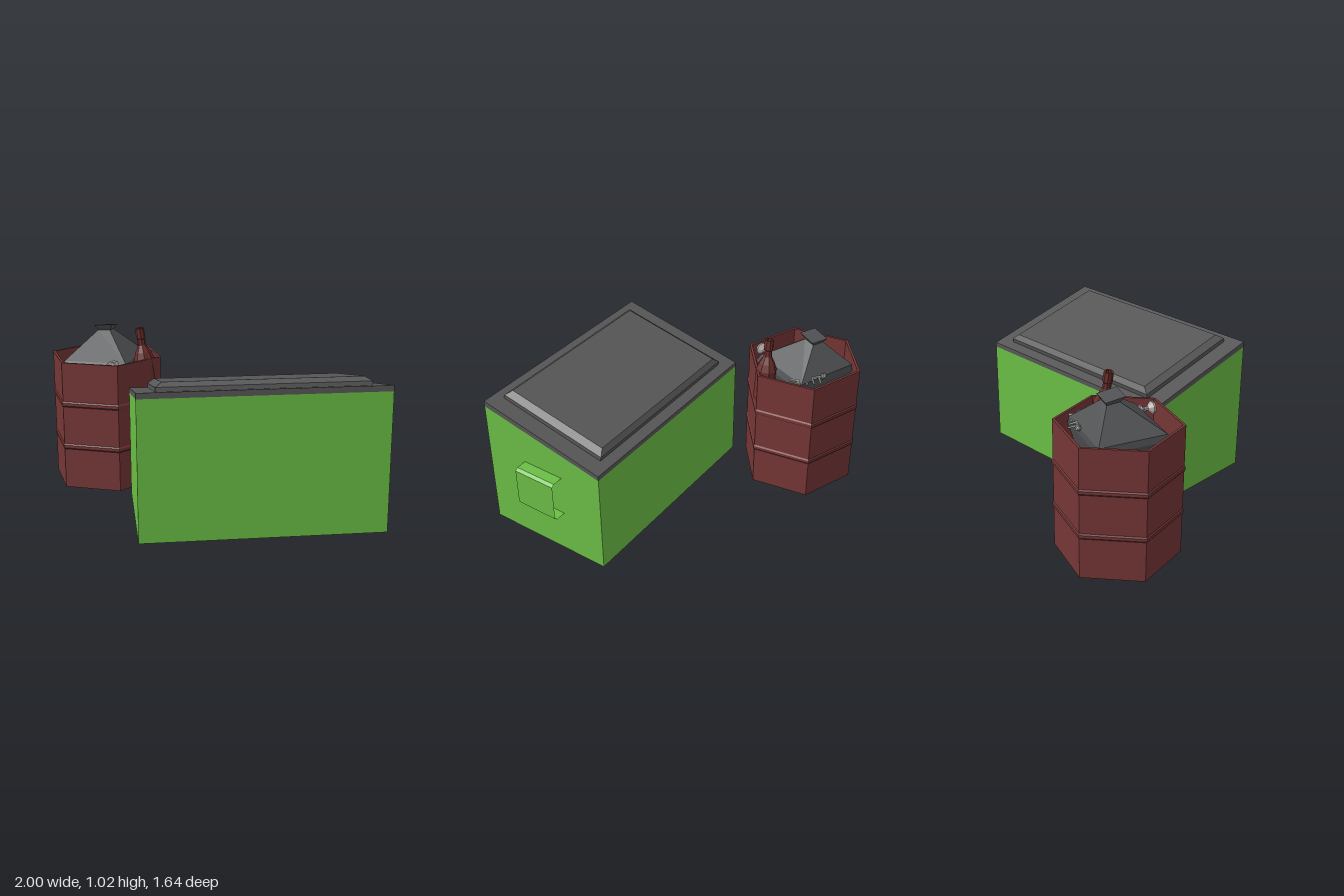
import * as THREE from 'three';

const mat = (color, side = THREE.FrontSide) =>
  new THREE.MeshStandardMaterial({ color, flatShading: true, side });

function add(parent, name, geometry, material) {
  const mesh = new THREE.Mesh(geometry, material);
  mesh.name = name;
  parent.add(mesh);
  return mesh;
}

// Side outline in (z, y), extruded across the width from x0 to x1
function sideExtrude(points, x0, x1) {
  const shape = new THREE.Shape(points.map(([z, y]) => new THREE.Vector2(z, y)));
  return new THREE.ExtrudeGeometry(shape, { depth: x1 - x0, bevelEnabled: false })
    .rotateY(-Math.PI / 2).translate(x1, 0, 0);
}

// Closed skin over rings of [x, y, z] points, listed from bottom to top
function loft(rings) {
  const n = rings[0].length, pos = [];
  const tri = (...pts) => pts.forEach(p => pos.push(...p));
  for (let k = 0; k + 1 < rings.length; k++) {
    for (let i = 0; i < n; i++) {
      const j = (i + 1) % n, lo = rings[k], hi = rings[k + 1];
      tri(lo[i], hi[i], hi[j]);
      tri(lo[i], hi[j], lo[j]);
    }
  }
  const first = rings[0], last = rings[rings.length - 1];
  for (let i = 1; i < n - 1; i++) {
    tri(first[0], first[i], first[i + 1]);
    tri(last[0], last[i + 1], last[i]);
  }
  const g = new THREE.BufferGeometry();
  g.setAttribute('position', new THREE.Float32BufferAttribute(pos, 3));
  g.computeVertexNormals();
  return g;
}

const rectRing = (hx, y, hz) => [[hx, y, -hz], [hx, y, hz], [-hx, y, hz], [-hx, y, -hz]];

// Cylinder between two points
function rod(a, b, r0, r1, sides) {
  const from = new THREE.Vector3(...a), dir = new THREE.Vector3(...b).sub(from);
  const g = new THREE.CylinderGeometry(r1, r0, dir.length(), sides);
  g.translate(0, dir.length() / 2, 0);
  g.applyQuaternion(new THREE.Quaternion().setFromUnitVectors(
    new THREE.Vector3(0, 1, 0), dir.clone().normalize()));
  return g.translate(...a);
}

// Lathe standing along the line from a towards b
function latheAlong(profile, a, b, sides) {
  const dir = new THREE.Vector3(...b).sub(new THREE.Vector3(...a)).normalize();
  const g = new THREE.LatheGeometry(profile.map(p => new THREE.Vector2(...p)), sides);
  g.applyQuaternion(new THREE.Quaternion().setFromUnitVectors(new THREE.Vector3(0, 1, 0), dir));
  return g.translate(...a);
}

function makeDumpster() {
  const group = new THREE.Group();
  group.name = 'dumpster';
  const green = mat(0x6abe45), grey = mat(0x575757);
  const zBack = -0.025, zFront = 0.815, xL = -0.52, xR = 0.915;

  // Body with sloped top, and the slab lid on it
  add(group, 'dumpsterBody', sideExtrude(
    [[zBack, 0.01], [zFront, 0.01], [zFront, 0.85], [zBack, 0.67]], xL, xR), green);
  add(group, 'lid', sideExtrude(
    [[zBack, 0.67], [zFront, 0.85], [zFront, 0.885], [zBack, 0.70]], xL, xR), grey);

  // Raised chamfered panel lying on the slope
  const panel = add(group, 'lidPanel', loft([
    rectRing(0.61, -0.01, 0.365), rectRing(0.61, 0.03, 0.365), rectRing(0.57, 0.058, 0.337)]), grey);
  panel.position.set(0.2, 0.79, 0.398);
  panel.rotation.x = -Math.atan(0.216);

  // Bent strap handle, open at its ends
  const path = [[0.915, 0.56], [0.982, 0.56], [1, 0.545], [1, 0.31], [0.982, 0.295], [0.915, 0.295]];
  const strap = new THREE.PlaneGeometry(1, 1, path.length - 1, 1);
  const p = strap.attributes.position;
  for (let i = 0; i < p.count; i++) {
    const [x, y] = path[i % path.length];
    p.setXYZ(i, x, y, i < path.length ? 0.255 : 0.535);
  }
  add(group, 'sideHandle', strap, mat(0x6abe45, THREE.DoubleSide));
  return group;
}

function makeBarrel() {
  const group = new THREE.Group();
  group.name = 'barrelGroup';
  const red = mat(0x753636), turn = 0.161, cx = -0.647, cz = -0.452;
  const hexLathe = pts => new THREE.LatheGeometry(
    pts.map(q => new THREE.Vector2(...q)), 6, turn).translate(cx, 0, cz);

  // Six-sided open tube wall
  add(group, 'barrelWall', hexLathe(
    [[0.353, 0], [0.37, 0], [0.37, 0.825], [0.353, 0.825], [0.353, 0]]), red);
  // Two ribs
  for (const y of [0.275, 0.555]) {
    add(group, 'barrelRib', hexLathe(
      [[0.368, y - 0.02], [0.377, y - 0.009], [0.377, y + 0.009], [0.368, y + 0.02]]), red);
  }
  return group;
}

function makeTrash() {
  const group = new THREE.Group();
  group.name = 'trash';

  // Tied four-sided bag: [x, y, z, radius, tilt]
  const bagRings = [
    [-0.65, 0.45, -0.45, 0.2, 0], [-0.65, 0.77, -0.455, 0.305, 0],
    [-0.65, 0.81, -0.465, 0.29, 0], [-0.643, 0.975, -0.515, 0.056, 0.1],
    [-0.643, 1.008, -0.51, 0.085, 0.16],
  ].map(([x, y, z, r, tilt]) => Array.from({ length: 4 }, (_, i) => {
    const a = -0.42 + i * Math.PI / 2, dz = r * Math.sin(a);
    return [x + r * Math.cos(a), y + tilt * dz, z + dz];
  }));
  add(group, 'trashBag', loft(bagRings), mat(0x505254));

  // Leaning bottle with an open neck
  add(group, 'bottle', latheAlong([
    [0, 0], [0.062, 0], [0.066, 0.02], [0.066, 0.2], [0.05, 0.245], [0.026, 0.29], [0.024, 0.33],
    [0.03, 0.335], [0.028, 0.4], [0.018, 0.4], [0.018, 0.3], [0, 0.29],
  ], [-0.38, 0.62, -0.322], [-0.435, 1.02, -0.315], 8), mat(0x6b302c));

  // Eaten core, flared at both ends
  add(group, 'fruitCore', latheAlong([
    [0, 0], [0.028, 0], [0.03, 0.012], [0.015, 0.03], [0.014, 0.055], [0.04, 0.08],
    [0.036, 0.095], [0, 0.1],
  ], [-0.598, 0.8, -0.235], [-0.627, 0.8, -0.14], 8), mat(0xb5a9a6));

  // Fish skeleton: spine, crossing ribs, head and tail fork
  const bone = mat(0x9aa39b);
  const fish = new THREE.Group();
  fish.name = 'fishBones';
  group.add(fish);
  const head = [-0.535, 0.82, -0.655], tail = [-0.405, 0.815, -0.545];
  const at = t => head.map((h, i) => h + (tail[i] - h) * t);
  add(fish, 'spine', rod(head, tail, 0.009, 0.007, 6), bone);
  [0.2, 0.45, 0.7].forEach((t, i) => {
    const [x, y, z] = at(t), l = 0.05 - i * 0.007;
    for (const s of [-1, 1]) {
      add(fish, 'rib', rod([x, y, z], [x + s * l * 0.75, y - 0.015, z - s * l * 0.8], 0.008, 0.006, 5), bone);
    }
  });
  add(fish, 'tailFork', rod(tail, [-0.385, 0.815, -0.5], 0.009, 0.009, 5), bone);
  add(fish, 'tailFork', rod(tail, [-0.375, 0.815, -0.575], 0.009, 0.009, 5), bone);
  add(fish, 'fishHead', new THREE.IcosahedronGeometry(0.02, 0).translate(...head), bone);
  return group;
}

export function createModel() {
  const model = new THREE.Group();
  model.name = 'dumpsterAndBarrel';
  model.add(makeDumpster(), makeBarrel(), makeTrash());
  return model;
}
